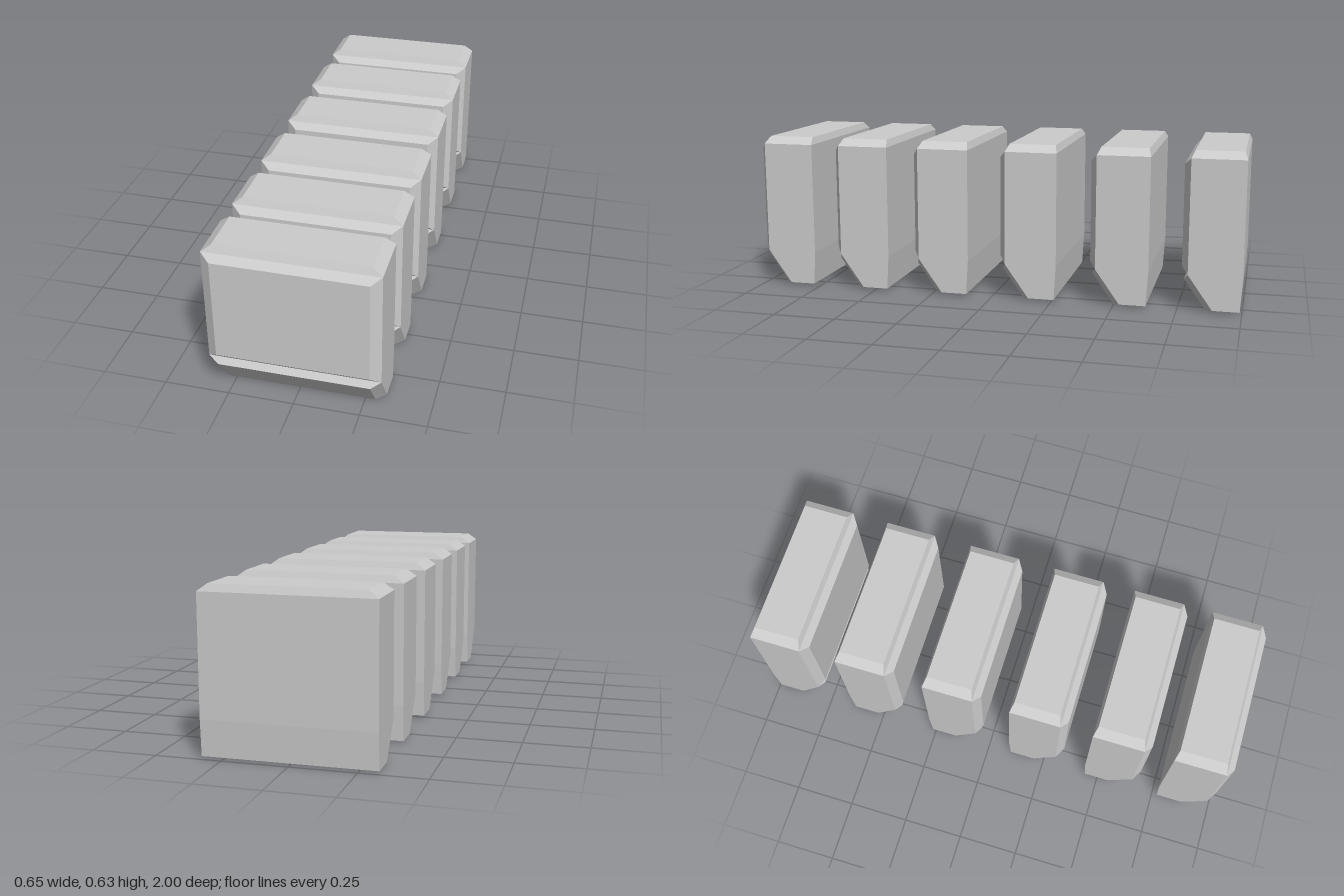
import * as THREE from 'three';

const HALF = 0.325;        // half width of a block
const PANEL_HALF = 0.287;  // half width of a raised panel face

// Side outline as [z, y], with z measured from the block's foremost plane
const BOTTOM = [-0.123, 0.01];
const KNEE = [-0.026, 0.147];
const TOP_FRONT = [-0.026, 0.602];
const TOP_BACK = [-0.236, 0.602];
const BACK_KNEE = [-0.236, 0.147];
const BACK_FOOT = [-0.228, 0.01];

const material = new THREE.MeshStandardMaterial({ color: 0xcccccc, flatShading: true });

// Core of the block: the side outline swept across x
function bodyGeometry() {
  const outline = [BOTTOM, BACK_FOOT, BACK_KNEE, TOP_BACK, TOP_FRONT, KNEE];
  const shape = new THREE.Shape(outline.map(([z, y]) => new THREE.Vector2(z, y)));
  return new THREE.ExtrudeGeometry(shape, { depth: HALF * 2, bevelEnabled: false })
    .rotateY(-Math.PI / 2)
    .translate(HALF, 0, 0);
}

// Bevelled panel rising from outline edge a-b to a smaller face at innerA-innerB
function panelGeometry(a, b, innerA, innerB) {
  const ring = (w, [z0, y0], [z1, y1]) => [-w, y0, z0, w, y0, z0, w, y1, z1, -w, y1, z1];
  const index = [4, 5, 6, 4, 6, 7];
  for (let i = 0; i < 4; i++) {
    const j = (i + 1) % 4;
    index.push(i, j, j + 4, i, j + 4, i + 4);
  }
  const geometry = new THREE.BufferGeometry();
  geometry.setAttribute('position', new THREE.Float32BufferAttribute(
    [...ring(HALF, a, b), ...ring(PANEL_HALF, innerA, innerB)], 3));
  geometry.setIndex(index);
  const flat = geometry.toNonIndexed();
  flat.computeVertexNormals();
  return flat;
}

export function createModel() {
  const model = new THREE.Group();
  model.name = 'blockRow';

  const parts = {
    body: bodyGeometry(),
    lowerPanel: panelGeometry(BOTTOM, KNEE, [-0.096, 0], [-0.01, 0.122]),
    frontPanel: panelGeometry(KNEE, TOP_FRONT, [0, 0.173], [0, 0.576]),
    topPanel: panelGeometry(TOP_FRONT, TOP_BACK, [-0.038, 0.63], [-0.225, 0.63]),
  };

  // Six identical blocks in a row, placed by their front planes
  [1, 0.672, 0.33, -0.034, -0.402, -0.764].forEach((front, i) => {
    const block = new THREE.Group();
    block.name = `block${i + 1}`;
    for (const [name, geometry] of Object.entries(parts)) {
      const mesh = new THREE.Mesh(geometry, material);
      mesh.name = name;
      block.add(mesh);
    }
    block.position.z = front;
    model.add(block);
  });

  return model;
}
